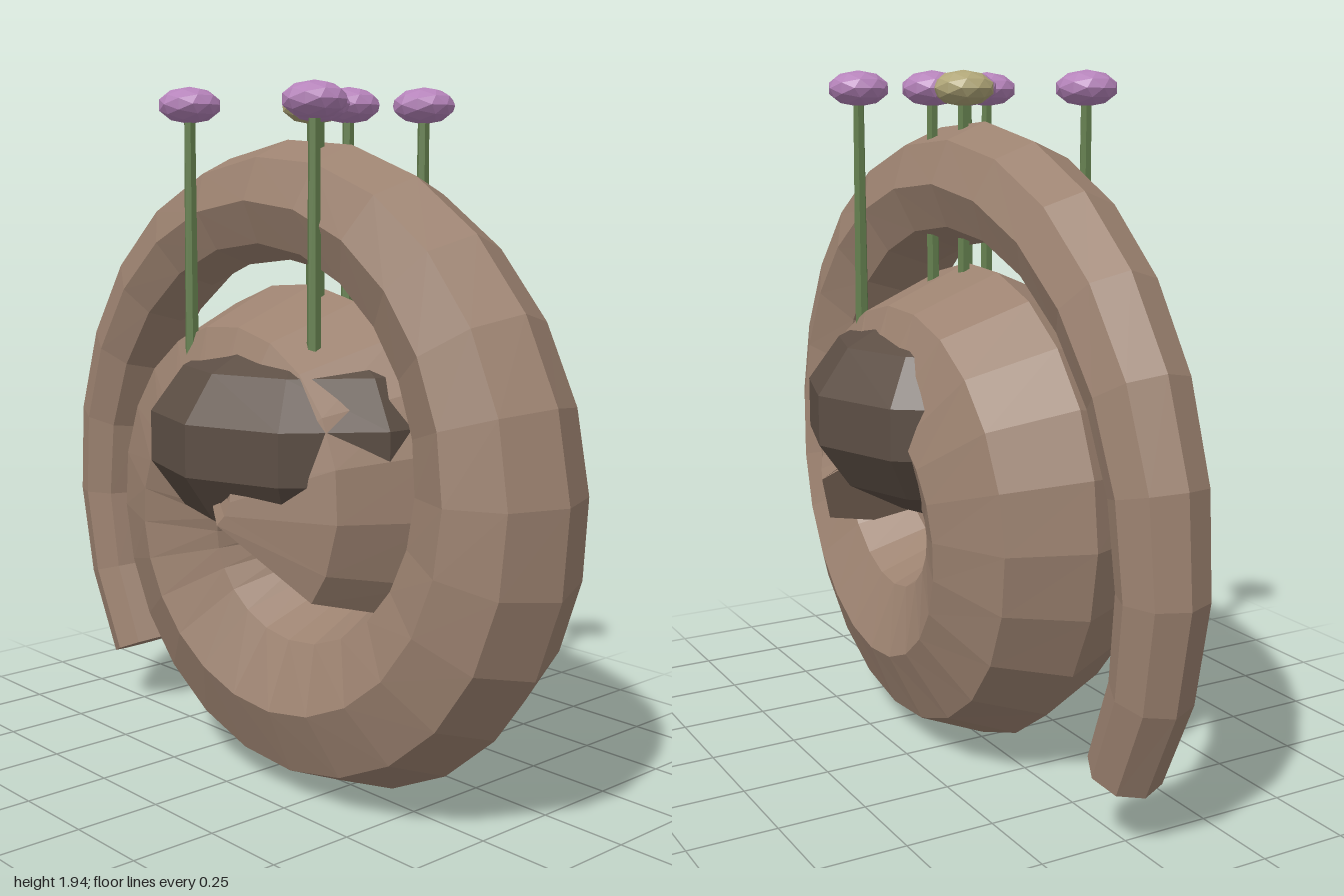
import * as THREE from 'three';

const flat = (color) => new THREE.MeshStandardMaterial({ color, flatShading: true });

// Tapered eight-sided tube winding outward along a flat spiral, closed at both ends
function spiralGeometry() {
  const steps = 39, sides = 8, turn = THREE.MathUtils.degToRad(576);
  const centre = (i) => {
    const t = i / steps, radius = THREE.MathUtils.lerp(0.08, 1.04, t);
    return new THREE.Vector3(0.1 + radius * Math.cos(turn * t), 0.8 + radius * Math.sin(turn * t), 0);
  };
  const positions = [], index = [];
  for (let i = 0; i <= steps; i++) {
    const p = centre(i);
    const dir = centre(Math.min(i + 1, steps)).sub(centre(Math.max(i - 1, 0))).normalize();
    const r = THREE.MathUtils.lerp(0.42, 0.1, i / steps);
    for (let j = 0; j < sides; j++) {
      const a = (j / sides) * Math.PI * 2, out = r * Math.cos(a);
      positions.push(p.x + dir.y * out, p.y - dir.x * out, r * Math.sin(a));
    }
  }
  for (let i = 0; i < steps; i++) {
    for (let j = 0; j < sides; j++) {
      const a = i * sides + j, b = i * sides + (j + 1) % sides;
      index.push(a, a + sides, b, b, a + sides, b + sides);
    }
  }
  // End caps
  const last = steps * sides;
  for (let j = 1; j < sides - 1; j++) {
    index.push(0, j, j + 1, last, last + j + 1, last + j);
  }
  const geometry = new THREE.BufferGeometry();
  geometry.setAttribute('position', new THREE.Float32BufferAttribute(positions, 3));
  geometry.setIndex(index);
  geometry.computeVertexNormals();
  return geometry;
}

export function createModel() {
  const model = new THREE.Group();
  const add = (name, geometry, material, x = 0, y = 0, z = 0, parent = model) => {
    const mesh = new THREE.Mesh(geometry, material);
    mesh.name = name;
    mesh.position.set(x, y, z);
    parent.add(mesh);
    return mesh;
  };

  add('spiralShell', spiralGeometry(), flat(0x9c8270));

  // Squat faceted core in the middle of the spiral
  const profile = [];
  for (let i = 0; i <= 7; i++) {
    const a = (i / 7) * Math.PI;
    profile.push(new THREE.Vector2(0.472 * Math.sin(a), -0.315 * Math.cos(a)));
  }
  add('core', new THREE.LatheGeometry(profile, 10), flat(0x5c4e44), 0.1, 0.99, 0);

  // Stalks with flattened caps: x, z, cap material
  const purple = flat(0xb583ba), tan = flat(0xb0a678), green = flat(0x647f4e);
  const stemGeometry = new THREE.CylinderGeometry(0.016, 0.02, 0.69, 6);
  const capGeometry = new THREE.IcosahedronGeometry(0.087, 1).scale(1, 0.57, 1);
  const stalks = [
    [-0.14, 0.25, purple], [0.29, 0.18, purple], [0.26, -0.25, purple],
    [0.14, -0.08, purple], [0.14, 0.03, purple], [0.05, -0.03, tan],
  ];
  for (const [x, z, capMaterial] of stalks) {
    const stalk = new THREE.Group();
    stalk.name = 'stalk';
    stalk.position.set(x, 0, z);
    add('stem', stemGeometry, green, 0, 1.545, 0, stalk);
    add('cap', capGeometry, capMaterial, 0, 1.89, 0, stalk);
    model.add(stalk);
  }
  return model;
}
